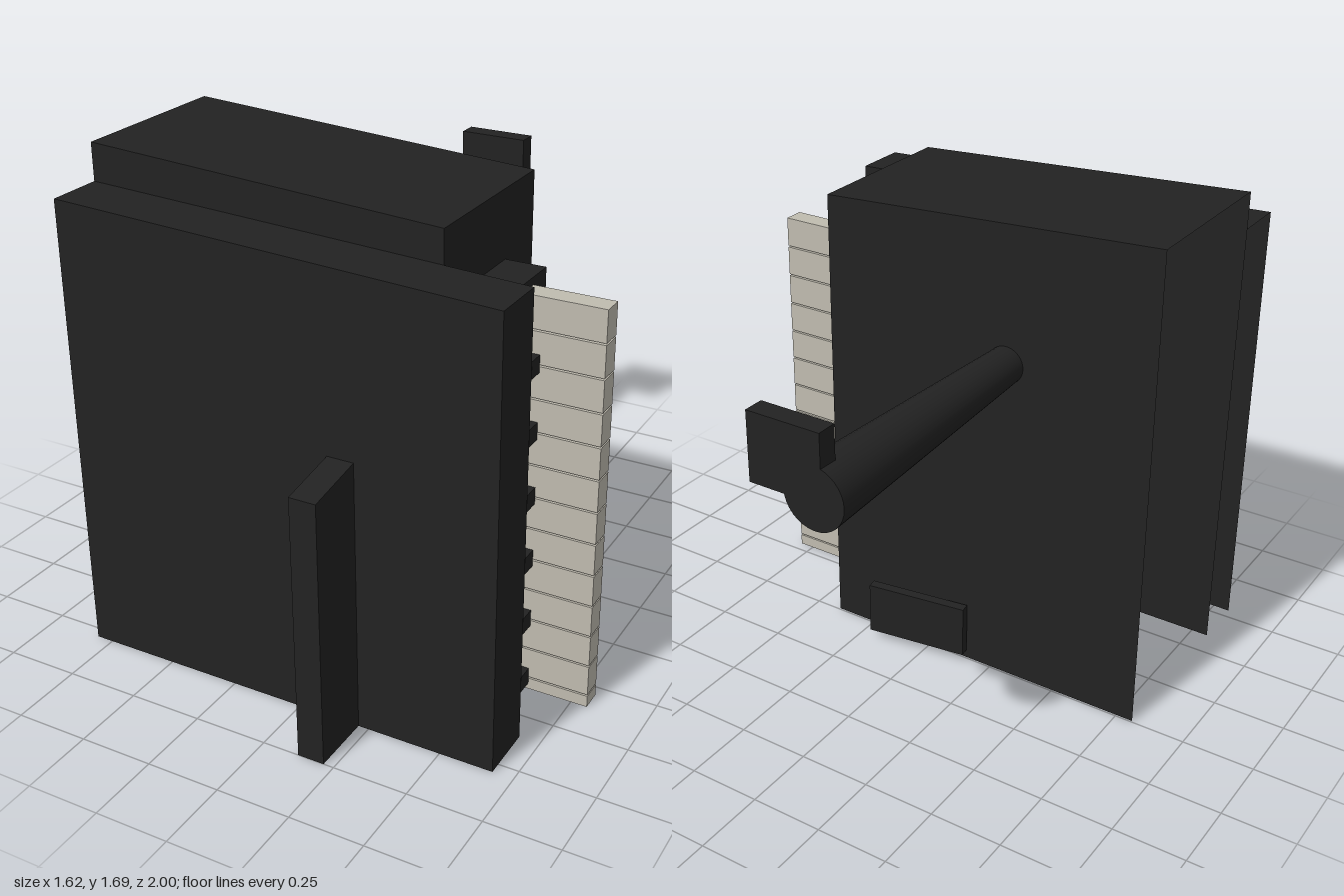
import * as THREE from 'three';

const dark = new THREE.MeshStandardMaterial({ color: 0x222222, side: THREE.DoubleSide });
dark.name = 'black';
const ivory = new THREE.MeshStandardMaterial({ color: 0xc0bcb0, side: THREE.DoubleSide });
ivory.name = 'ivory';

// Box from ranges; `open` lists sides left out (0 +x, 1 -x, 2 +y, 3 -y, 4 +z, 5 -z)
function block(name, material, [x0, x1], [y0, y1], [z0, z1], open = [], topRule = null) {
  const geo = new THREE.BoxGeometry(x1 - x0, y1 - y0, z1 - z0);
  geo.translate((x0 + x1) / 2, (y0 + y1) / 2, (z0 + z1) / 2);
  if (topRule) {
    const p = geo.attributes.position;
    const mid = (y0 + y1) / 2;
    for (let i = 0; i < p.count; i++) {
      if (p.getY(i) > mid) p.setY(i, topRule(p.getX(i), p.getZ(i)));
    }
  }
  const index = Array.from(geo.index.array).filter((_, i) => !open.includes(Math.floor(i / 6)));
  geo.setIndex(index);
  geo.clearGroups();
  if (topRule) geo.computeVertexNormals();
  const mesh = new THREE.Mesh(geo, material);
  mesh.name = name;
  return mesh;
}

// Height running straight from a at t0 to b at t1
const slope = (t, t0, t1, a, b) => a + ((t - t0) / (t1 - t0)) * (b - a);

export function createModel() {
  const model = new THREE.Group();
  model.name = 'keyboardCabinet';

  // Cabinet shells, cut open underneath and on the -x side
  model.add(block('cabinet', dark, [-0.81, 0.405], [0, 1.69], [0.006, 0.6], [1, 3],
    (x) => slope(x, -0.81, 0.405, 1.69, 1.62)));
  model.add(block('frontSlab', dark, [-0.81, 0.68], [0, 1.56], [0.6, 0.79], [1, 3],
    (x) => slope(x, -0.81, 0.68, 1.565, 1.5)));

  // Upright fin on the front
  model.add(block('frontFin', dark, [0.125, 0.215], [0, 0.93], [0.79, 1], [3],
    (x, z) => slope(z, 0.79, 1, 0.932, 0.9)));

  // Rail holding the keys
  model.add(block('keyRail', dark, [0.405, 0.54], [0, 1.395], [0.2, 0.455], [3]));

  // Ivory keys, the lowest one cut off at the base
  const keys = new THREE.Group();
  keys.name = 'ivoryKeys';
  for (let i = 0; i < 13; i++) {
    const top = 1.37 - i * 0.1108;
    const bottom = Math.max(0, top - 0.105);
    keys.add(block('ivoryKey', ivory, [0.54, 0.805], [bottom, top], [0.29, 0.362], bottom === 0 ? [3] : []));
  }
  model.add(keys);

  // Raised black keys
  const blackKeys = new THREE.Group();
  blackKeys.name = 'blackKeys';
  for (let i = 0; i < 6; i++) {
    const y = 0.05 + i * 0.2215;
    blackKeys.add(block('blackKey', dark, [0.54, 0.6], [y - 0.029, y + 0.029], [0.362, 0.418]));
  }
  model.add(blackKeys);

  // Tapered leg reaching out behind
  const legGeo = new THREE.CylinderGeometry(0.064, 0.103, 1.006, 32);
  legGeo.rotateX(Math.PI / 2);
  const leg = new THREE.Mesh(legGeo, dark);
  leg.name = 'rearLeg';
  leg.position.set(-0.283, 1.187, -0.497);
  model.add(leg);

  // Foot block at the end of the leg
  model.add(block('footBlock', dark, [-0.31, -0.06], [1.17, 1.395], [-1, -0.932]));

  // Slanted pedal plate low on the back
  const pedal = new THREE.Mesh(new THREE.BoxGeometry(0.365, 0.19, 0.035), dark);
  pedal.name = 'pedalPlate';
  pedal.position.set(0.024, 0.13, -0.042);
  pedal.rotation.y = 0.14;
  model.add(pedal);

  return model;
}
